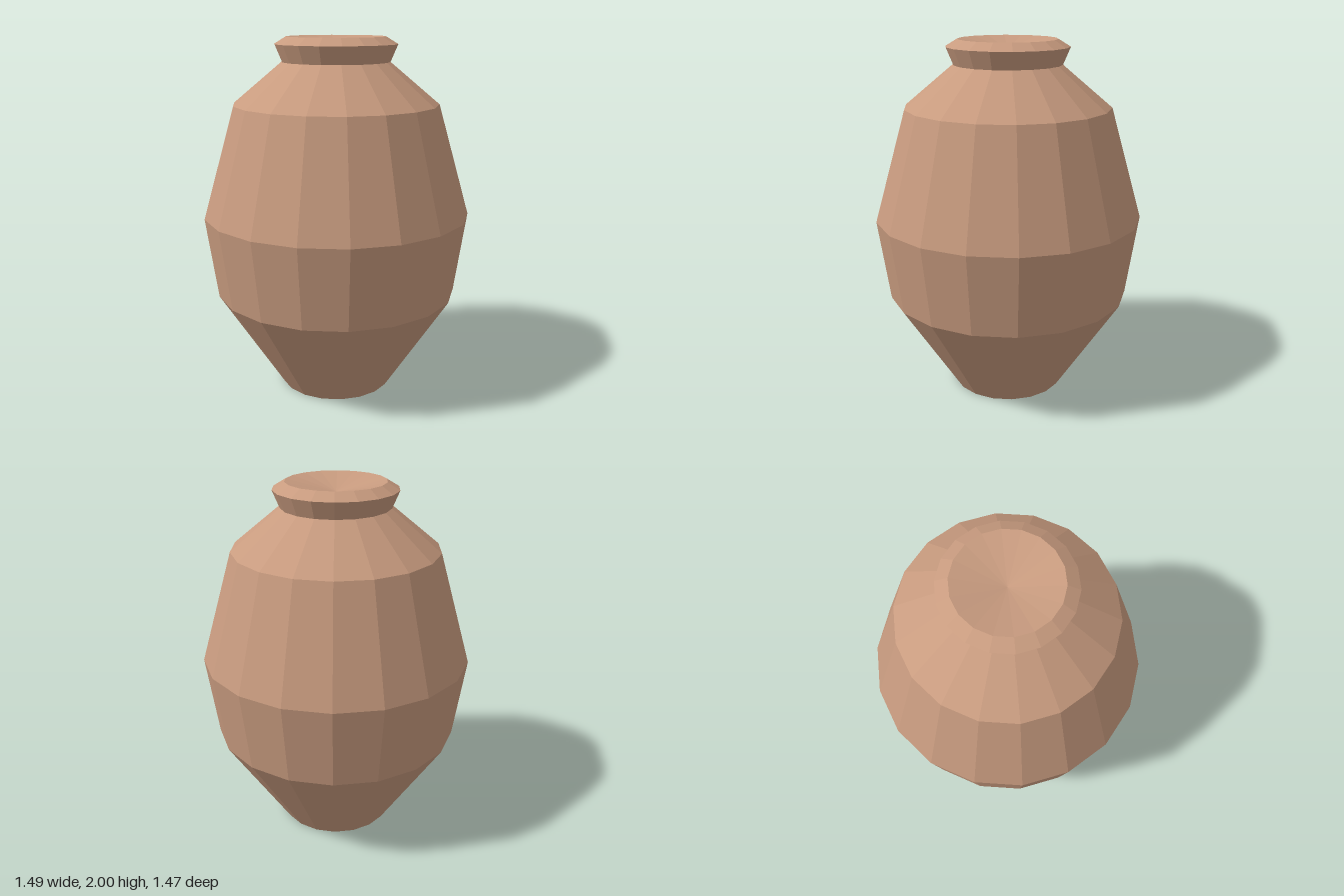
import * as THREE from 'three';

const SIDES = 18;

export function createModel() {
  const clay = new THREE.MeshStandardMaterial({ color: 0xc89b7f, flatShading: true });
  clay.name = 'clay';
  const jar = new THREE.Group();
  jar.name = 'jar';

  // Turns a [radius, height] profile, with corners on the x axis
  function turn(name, profile) {
    const points = profile.map(([r, y]) => new THREE.Vector2(r, y));
    const mesh = new THREE.Mesh(new THREE.LatheGeometry(points, SIDES, Math.PI / 2), clay);
    mesh.name = name;
    jar.add(mesh);
  }

  // Flat underside, belly and shoulder
  turn('base', [[0, 0], [0.317, 0]]);
  turn('body', [[0.317, 0], [0.682, 0.57], [0.747, 1.025], [0.57, 1.638], [0.298, 1.865]]);
  // Flared collar with a bevelled lip
  turn('rim', [[0.298, 1.865], [0.338, 1.96], [0.272, 2]]);
  // Shallow dished mouth
  turn('mouth', [[0.272, 2], [0, 1.94]]);

  return jar;
}
